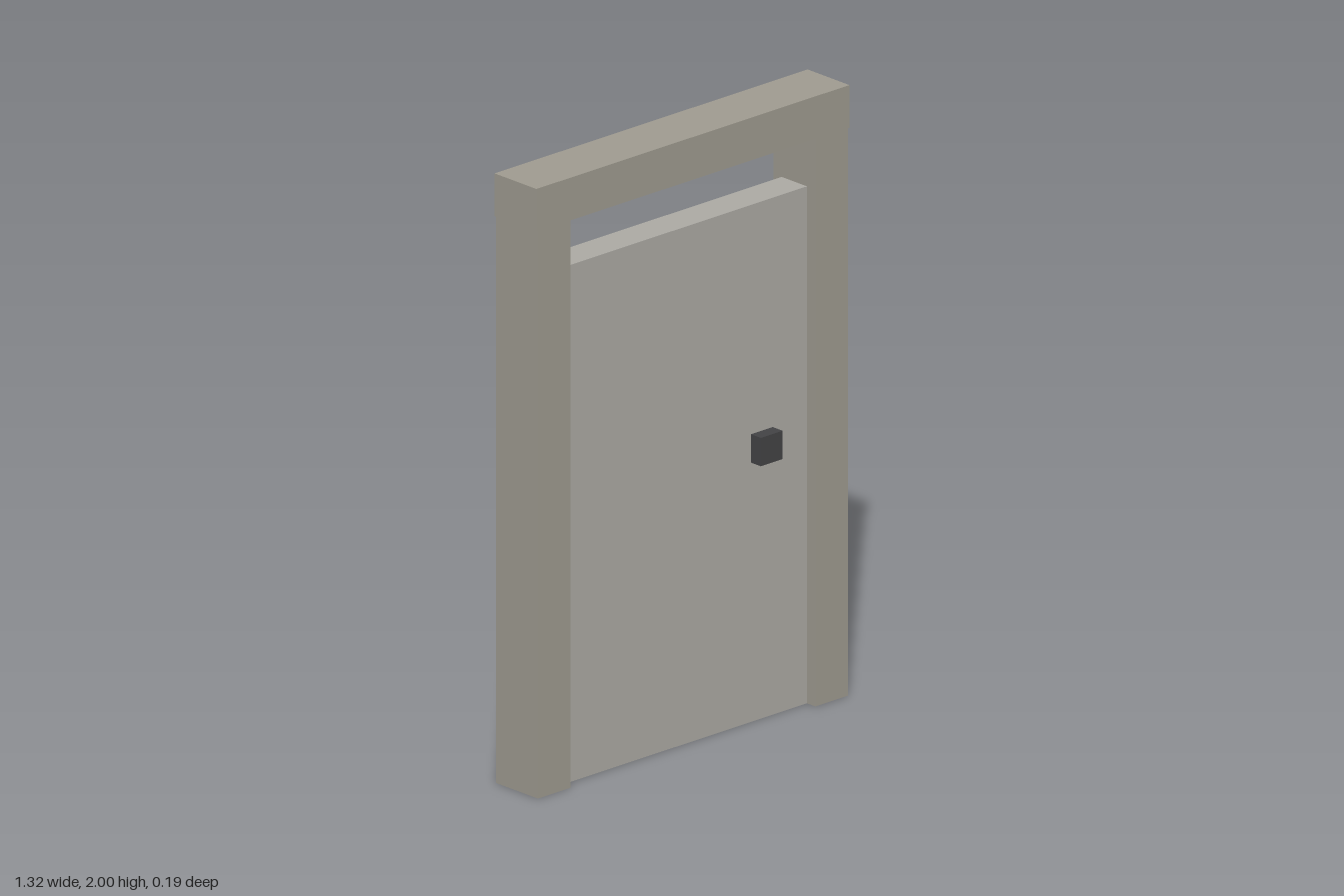
import * as THREE from 'three';

const frameMaterial = new THREE.MeshStandardMaterial({ color: 0x9f9b90, side: THREE.DoubleSide });
const doorMaterial = new THREE.MeshStandardMaterial({ color: 0xacaaa4, side: THREE.DoubleSide });
const handleMaterial = new THREE.MeshStandardMaterial({ color: 0x434345 });

// Box given by its limits on each axis; openBottom leaves out the underside
function block(name, [x0, x1], [y0, y1], [z0, z1], material, openBottom = false) {
  const geometry = new THREE.BoxGeometry(x1 - x0, y1 - y0, z1 - z0);
  if (openBottom) {
    const index = Array.from(geometry.index.array);
    index.splice(18, 6); // the -y face
    geometry.setIndex(index);
    geometry.clearGroups();
  }
  const mesh = new THREE.Mesh(geometry, material);
  mesh.name = name;
  mesh.position.set((x0 + x1) / 2, (y0 + y1) / 2, (z0 + z1) / 2);
  return mesh;
}

export function createModel() {
  const model = new THREE.Group();
  model.name = 'doorway';

  const depth = [-0.097, 0.09];
  const outer = 0.654, inner = 0.516, lintelBottom = 1.86;

  // Frame: two hollow jambs under a slightly wider lintel
  model.add(block('leftJamb', [inner, outer], [0, lintelBottom], depth, frameMaterial, true));
  model.add(block('rightJamb', [-outer, -inner], [0, lintelBottom], depth, frameMaterial, true));
  model.add(block('lintel', [-0.66, 0.66], [lintelBottom, 2], depth, frameMaterial));

  // Door panel, recessed on both sides, with an open gap above it
  model.add(block('doorPanel', [-inner, inner], [0, 1.695], [-0.06, 0.053], doorMaterial, true));

  // Square handle on the front only
  model.add(block('handle', [0.28, 0.372], [0.85, 0.943], [0.04, 0.097], handleMaterial));

  return model;
}
